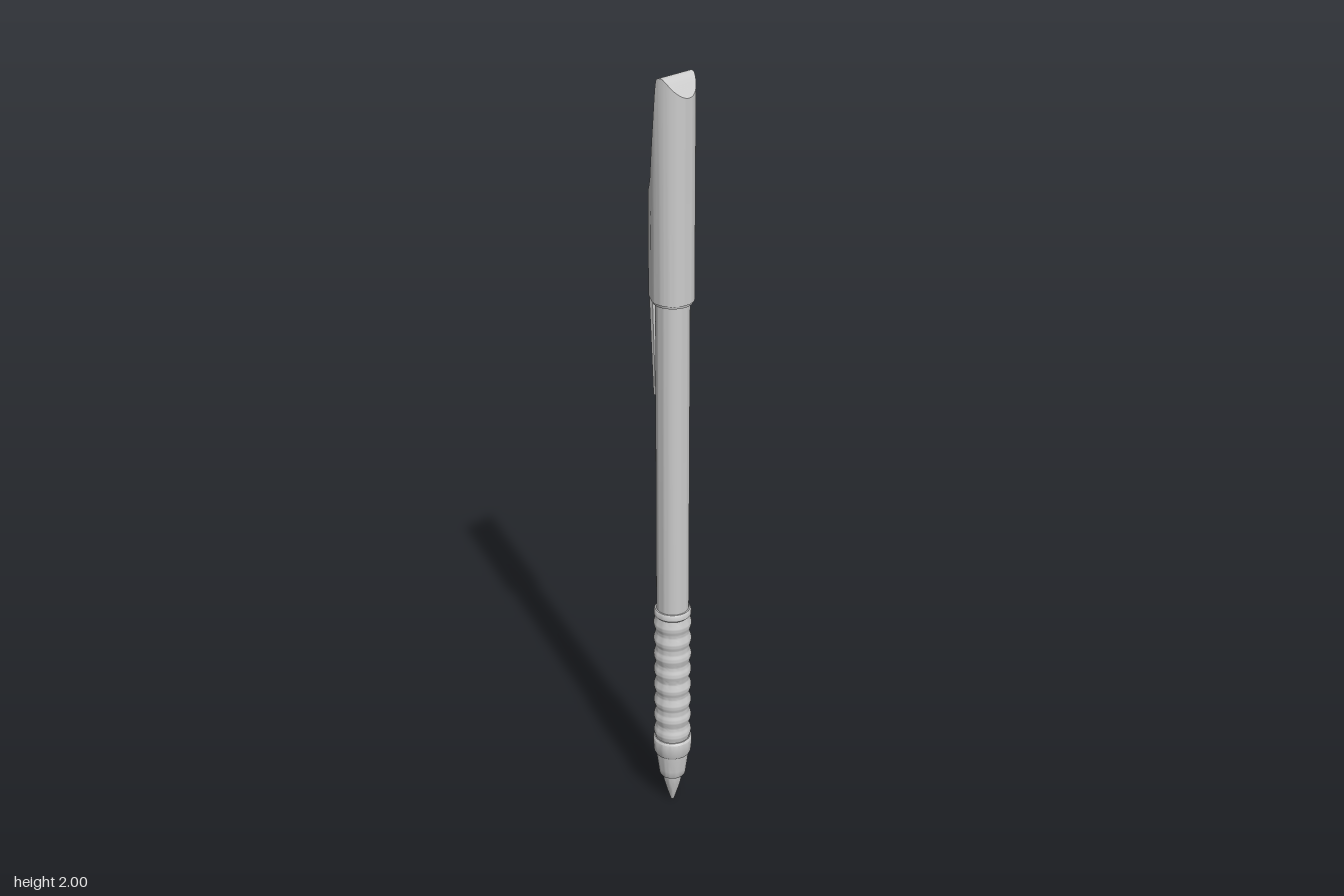
import * as THREE from 'three';
import { toCreasedNormals } from 'three/addons/utils/BufferGeometryUtils.js';

const material = new THREE.MeshStandardMaterial({ color: 0xcccccc, side: THREE.DoubleSide });
const CAP_BOTTOM = 1.46;
const CAP_RADIUS = 0.052;

function addMesh(parent, name, geometry, crease = 0.6) {
  const mesh = new THREE.Mesh(toCreasedNormals(geometry, crease), material);
  mesh.name = name;
  parent.add(mesh);
}

// Revolved part from [radius, height] pairs
function lathe(profile) {
  return new THREE.LatheGeometry(profile.map(([r, y]) => new THREE.Vector2(r, y)), 40);
}

// Linear interpolation in a list of [x, value] pairs
function sample(table, x) {
  for (let i = 1; i < table.length; i++) {
    const [x0, v0] = table[i - 1], [x1, v1] = table[i];
    if (x <= x1) return v0 + (v1 - v0) * Math.max(0, (x - x0) / (x1 - x0));
  }
  return table[table.length - 1][1];
}

// Solid swept through four-cornered sections [x, bottom, top, halfWidth]
function sectionSolid(sections) {
  const positions = [], index = [];
  for (const [x, y0, y1, w] of sections) {
    positions.push(x, y0, w, x, y1, w, x, y1, -w, x, y0, -w);
  }
  for (let i = 0; i < sections.length - 1; i++) {
    for (let k = 0; k < 4; k++) {
      const a = i * 4 + k, b = i * 4 + (k + 1) % 4;
      index.push(a, a + 4, b, b, a + 4, b + 4);
    }
  }
  const last = (sections.length - 1) * 4;
  index.push(0, 1, 2, 0, 2, 3, last, last + 2, last + 1, last, last + 3, last + 2);
  const geometry = new THREE.BufferGeometry();
  geometry.setAttribute('position', new THREE.Float32BufferAttribute(positions, 3));
  geometry.setIndex(index);
  return geometry;
}

// Cap: round body with a clip bulge, cut by a scooped top
function capGeometry() {
  const bulge = [[-0.066, 0.006], [-0.065, 0.012], [-0.062, 0.019], [-0.058, 0.024], [-0.035, 0.0385], [-0.03, 0]];
  const scoop = new THREE.SplineCurve([
    [-0.066, 1.71], [-0.053, 1.725], [-0.038, 1.755], [-0.026, 1.805],
    [-0.014, 1.89], [-0.006, 1.965], [-0.001, 1.994], [0.006, 2],
  ].map(([x, y]) => new THREE.Vector2(x, y))).getPoints(48).map((p) => [p.x, p.y]);
  const top = [...scoop, [0.016, 2], [0.026, 1.99], [0.047, 1.962], [0.052, 1.955]];
  const xs = scoop.map(([x]) => x);
  for (let a = 82; a >= 0; a -= 4) xs.push(CAP_RADIUS * Math.cos(a * Math.PI / 180));
  xs.push(CAP_RADIUS);
  const sections = xs.map((x) => {
    const round = Math.sqrt(Math.max(0, CAP_RADIUS ** 2 - x * x));
    const width = Math.max(round, x < -0.03 ? sample(bulge, x) : 0, 0.0005);
    return [x, CAP_BOTTOM, sample(top, x), width];
  });
  return sectionSolid(sections);
}

// Clip: thin tongue tapering downward along the barrel
function clipGeometry() {
  const geometry = new THREE.BoxGeometry(1, 0.28, 1, 4, 8, 8);
  const p = geometry.attributes.position;
  for (let i = 0; i < p.count; i++) {
    const t = (p.getY(i) + 0.14) / 0.28;
    const outer = -0.056 - 0.007 * t;
    const inner = -0.043 - 0.003 * t;
    const u = p.getX(i) + 0.5, v = p.getZ(i) * 2;
    const bow = 0.006 * v * v * (1 - u);
    p.setXYZ(i, outer + (inner - outer) * u + bow, 1.2 + 0.28 * t, v * (0.016 + 0.007 * t));
  }
  return geometry;
}

export function createModel() {
  const model = new THREE.Group();
  const pen = new THREE.Group();
  pen.name = 'pen';
  pen.position.x = 0.005;
  pen.rotation.y = -0.12;
  model.add(pen);

  // Writing end
  addMesh(pen, 'tip', lathe([
    [0, 0.004], [0.004, 0.005], [0.007, 0.014], [0.015, 0.04], [0.022, 0.066], [0.026, 0.09], [0.026, 0.1], [0, 0.1],
  ]));
  addMesh(pen, 'nose', lathe([
    [0, 0.092], [0.032, 0.092], [0.035, 0.097], [0.037, 0.115], [0.041, 0.145], [0.043, 0.17], [0, 0.17],
  ]));
  addMesh(pen, 'collar', lathe([
    [0, 0.165], [0.046, 0.165], [0.049, 0.171], [0.051, 0.195], [0.051, 0.21], [0.047, 0.216], [0, 0.216],
  ]));

  // Ribbed grip
  const ribs = 8, steps = 10, gripBottom = 0.21, gripTop = 0.59;
  const grip = [[0, gripBottom]];
  for (let i = 0; i <= ribs * steps; i++) {
    const t = i / (ribs * steps);
    grip.push([0.0465 - 0.0025 * Math.cos(t * ribs * Math.PI * 2), gripBottom + (gripTop - gripBottom) * t]);
  }
  grip.push([0.048, 0.594], [0.048, 0.606], [0.045, 0.611], [0, 0.611]);
  addMesh(pen, 'grip', lathe(grip));

  // Barrel, cap and clip
  addMesh(pen, 'barrel', lathe([[0, 0.6], [0.0415, 0.6], [0.0415, 1.48], [0, 1.48]]));
  addMesh(pen, 'capLip', lathe([[0, 1.453], [0.048, 1.453], [0.05, 1.462], [0, 1.462]]));
  addMesh(pen, 'cap', capGeometry());
  addMesh(pen, 'clip', clipGeometry());

  return model;
}
